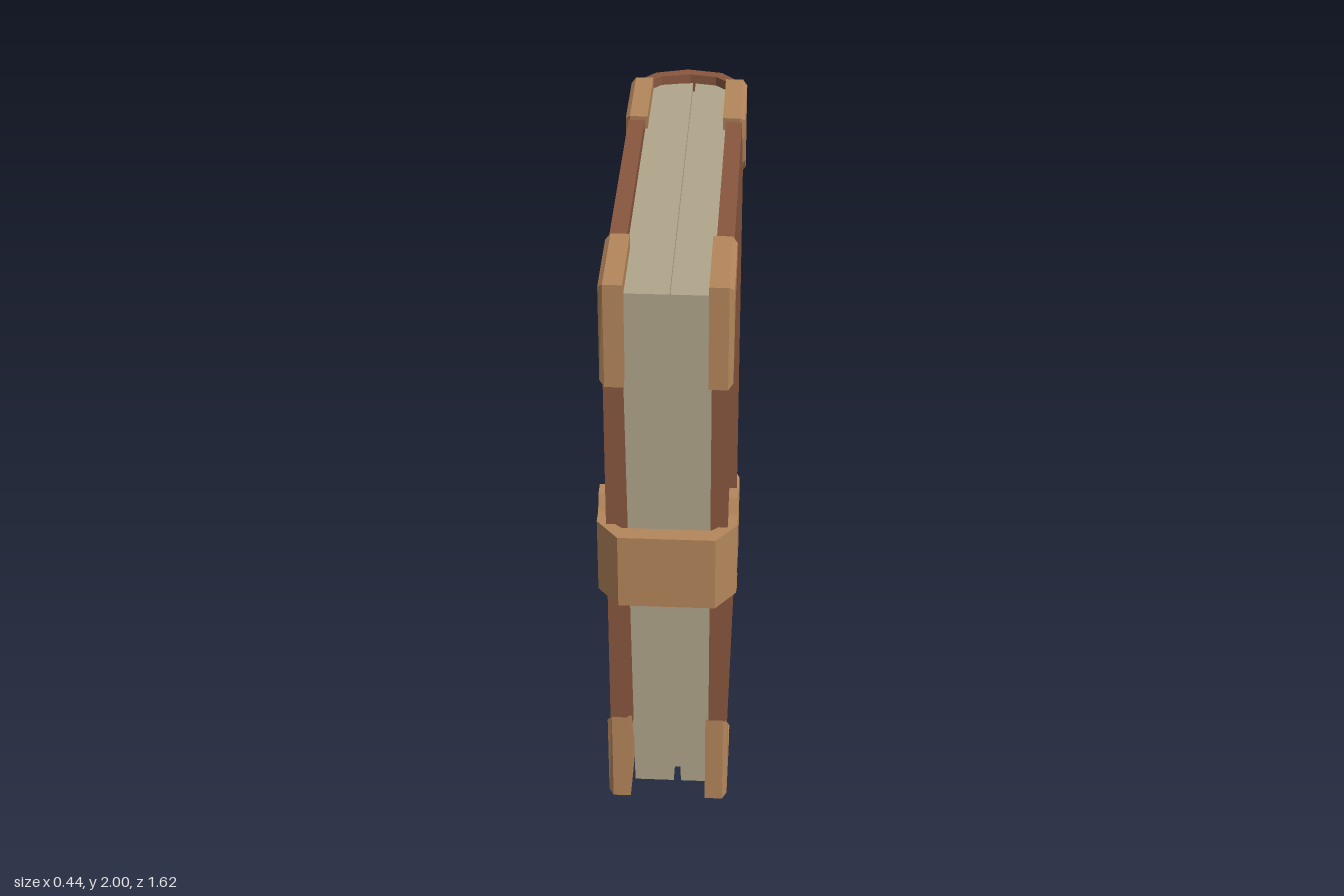
import * as THREE from 'three';
import { mergeGeometries } from 'three/addons/utils/BufferGeometryUtils.js';

const material = (name, color) => {
  const m = new THREE.MeshStandardMaterial({ color });
  m.name = name;
  return m;
};

const toShape = (pts) => new THREE.Shape(pts.map(([a, b]) => new THREE.Vector2(a, b)));

// Outline in (x, z), raised from y0 to y1
function upright(pts, y0, y1) {
  const geo = new THREE.ExtrudeGeometry(toShape(pts.map(([x, z]) => [x, -z])), { depth: y1 - y0, bevelEnabled: false });
  return geo.rotateX(-Math.PI / 2).translate(0, y0, 0);
}

// Outline in (z, y) on one side of the book, from x0 out to x1, bevelled on the outer face
function sidePlate(pts, side, x0, x1, bevel = 0, holes = []) {
  const flip = ([z, y]) => [-side * z, y];
  const shape = toShape(pts.map(flip));
  shape.holes = holes.map((h) => toShape(h.map(flip)));
  const geo = new THREE.ExtrudeGeometry(shape, {
    depth: x1 - x0, bevelEnabled: bevel > 0, bevelSegments: 1,
    bevelThickness: bevel, bevelSize: bevel, bevelOffset: -bevel,
  });
  // keep the inner face flat and full size
  const p = geo.attributes.position;
  for (let i = 0; i < p.count; i++) p.setZ(i, Math.max(0, p.getZ(i) - bevel));
  geo.translate(0, 0, x0).rotateY((side * Math.PI) / 2);
  geo.computeVertexNormals();
  return geo;
}

export function createModel() {
  const leather = material('brown leather', 0x88573f);
  const brass = material('tan metal', 0xb4865b);
  const paper = material('paper', 0xb0a48b);
  const gold = material('gold', 0xb8954f);

  const book = new THREE.Group();
  book.name = 'book';
  const add = (name, geo, mat, parent = book) => {
    const mesh = new THREE.Mesh(geo, mat);
    mesh.name = name;
    parent.add(mesh);
    return mesh;
  };

  // Two boards and the faceted spine
  add('coverAndSpine', upright([
    [-0.19, 0.738], [-0.19, -0.7], [-0.12, -0.782], [-0.01, -0.814], [0.11, -0.79], [0.19, -0.7], [0.19, 0.738],
    [0.136, 0.738], [0.136, -0.71], [0.09, -0.755], [0, -0.772], [-0.1, -0.75], [-0.136, -0.71], [-0.136, 0.738],
  ], 0.015, 1.985), leather);

  // Page blocks, leaning a little toward the foot
  const pages = (name, pts, leanLeft, leanRight, split) => {
    const geo = upright(pts, 0.045, 1.953);
    const p = geo.attributes.position;
    for (let i = 0; i < p.count; i++) {
      const x = p.getX(i);
      const t = THREE.MathUtils.clamp((x - split[0]) / (split[1] - split[0]), 0, 1);
      const low = 1 - (p.getY(i) - 0.045) / 1.908;
      p.setX(i, x + low * THREE.MathUtils.lerp(leanLeft, leanRight, t));
    }
    geo.computeVertexNormals();
    add(name, geo, paper);
  };
  pages('rightPages', [[-0.134, 0.71], [-0.134, -0.71], [-0.1, -0.75], [-0.05, -0.765], [0.009, -0.77], [0.009, 0.71]],
    0.022, 0.01, [-0.134, 0.009]);
  pages('leftPages', [[0.018, 0.71], [0.018, -0.77], [0.09, -0.755], [0.135, -0.71], [0.135, 0.71]],
    0.025, 0, [0.018, 0.135]);
  add('pageCore', upright([[-0.05, 0.67], [-0.05, -0.75], [0.07, -0.75], [0.07, 0.67]], 0.07, 1.93), paper);

  // Metal corners, mirrored about the middle of the boards
  const corner = [[0.365, 1], [0.415, 0], [0.415, 0], [0.425, 0], [0.575, 0], [0.63, 0]];
  const outline = [[0.725, 1], [0.412, 1], [0.425, 0.91], [0.575, 0.86], [0.63, 0.725], [0.725, 0.65]];
  for (const side of [1, -1]) {
    for (const [sz, endName] of [[1, 'front'], [-1, 'spine']]) {
      for (const [sy, heightName] of [[1, 'Top'], [-1, 'Bottom']]) {
        const pts = outline.map(([z, y]) => [0.02 + sz * z, 1 + sy * y]);
        add(`${endName}${heightName}Corner${side > 0 ? 'Left' : 'Right'}`,
          sidePlate(pts, side, 0.126, 0.2, 0.015), brass);
      }
    }
  }

  // Clasp: a strap round the fore edge and a pierced plate on each board
  const clasp = new THREE.Group();
  clasp.name = 'clasp';
  book.add(clasp);
  add('strap', upright([
    [-0.22, 0.67], [-0.22, 0.725], [-0.15, 0.81], [0.155, 0.81], [0.22, 0.725], [0.22, 0.67],
    [0.188, 0.67], [0.188, 0.715], [0.14, 0.757], [-0.14, 0.757], [-0.188, 0.715], [-0.188, 0.67],
  ], 0.875, 1.14), brass, clasp);
  const half = [[0.67, 0.132], [0.647, 0.182], [0.594, 0.182], [0.57, 0.1]];
  const hole = [[0.647, 0.092], [0.63, 0.152], [0.598, 0.152], [0.577, 0.092]];
  const midY = 1.008;
  const up = (pts) => pts.map(([z, y]) => [z, midY + y]);
  const down = (pts) => pts.map(([z, y]) => [z, midY - y]).reverse();
  for (const side of [1, -1]) {
    add(`claspPlate${side > 0 ? 'Left' : 'Right'}`,
      sidePlate([...up(half), [0.51, midY], ...down(half)], side, 0.186, 0.22, 0, [up(hole), down(hole)]),
      brass, clasp);
  }

  // Round medallion: sixteen-sided rim, sunken band, raised centre
  const medallion = new THREE.Group();
  medallion.name = 'medallion';
  medallion.position.set(-0.187, 0.982, 0.017);
  medallion.rotation.z = Math.PI / 2;
  book.add(medallion);
  const profile = [
    [0.352, 0], [0.352, 0.023], [0.34, 0.033], [0.305, 0.033], [0.29, 0.012], [0.152, 0.012],
    [0.15, 0.03], [0.144, 0.033], [0.132, 0.033], [0.124, 0.025], [0, 0.025],
  ].map(([r, h]) => new THREE.Vector2(r, h));
  const disc = new THREE.LatheGeometry(profile, 16).toNonIndexed();
  disc.computeVertexNormals();
  add('medallionDisc', disc, gold, medallion);

  // Angular key pattern repeated round the band
  const key = [[-0.045, 0.172], [-0.045, 0.275], [0.045, 0.275], [0.045, 0.205], [-0.008, 0.205], [-0.008, 0.24], [0.014, 0.24]];
  const bars = [];
  const count = 10;
  const w = 0.015;
  for (let k = 0; k < count; k++) {
    for (let i = 0; i < key.length - 1; i++) {
      const [u0, v0] = key[i];
      const [u1, v1] = key[i + 1];
      bars.push(new THREE.BoxGeometry(Math.abs(u1 - u0) + w, 0.02, Math.abs(v1 - v0) + w)
        .translate((u0 + u1) / 2, 0.019, (v0 + v1) / 2)
        .rotateY((k / count) * Math.PI * 2));
    }
  }
  add('medallionKeyPattern', mergeGeometries(bars), gold, medallion);

  return book;
}
